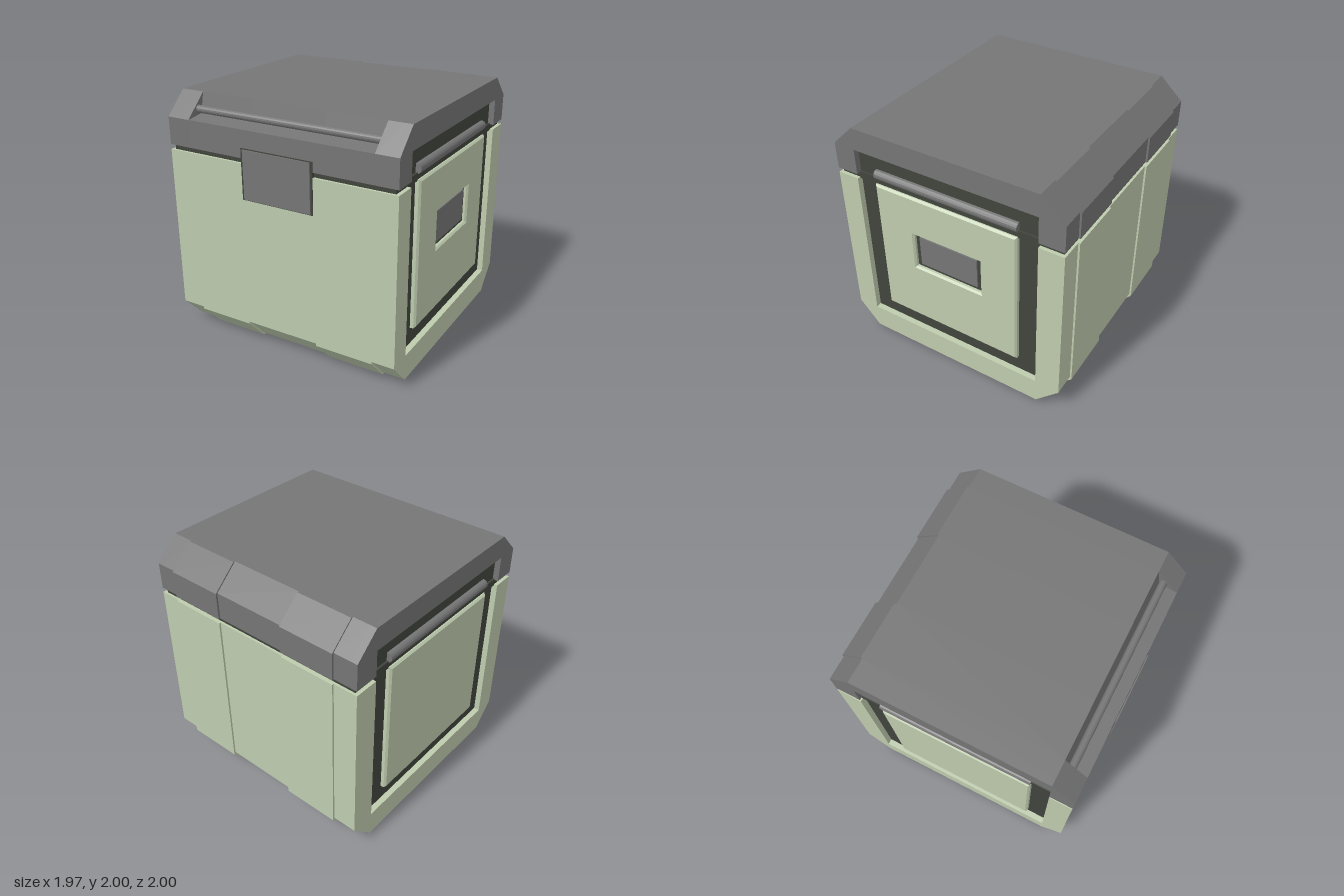
import * as THREE from 'three';

const GREEN = 0xbecbae, GREY = 0x757575, DARK = 0x41453d;
const CORE = 0.93, OUT = 0.985;
const mats = {};
const mat = (c) => (mats[c] ??= new THREE.MeshStandardMaterial({ color: c, flatShading: true }));

function add(parent, name, geo, color) {
  const m = new THREE.Mesh(geo, mat(color));
  m.name = name;
  parent.add(m);
  return m;
}

// Shape from [z, y] points, swept along x from x0 to x1
function toShape(pts, hole) {
  const v = (p) => new THREE.Vector2(-p[0], p[1]);
  const s = new THREE.Shape(pts.map(v));
  if (hole) s.holes.push(new THREE.Path(hole.map(v)));
  return s;
}
function sweep(pts, x0, x1, hole) {
  const g = new THREE.ExtrudeGeometry(toShape(pts, hole), { depth: x1 - x0, bevelEnabled: false });
  return g.rotateY(Math.PI / 2).translate(x0, 0, 0);
}
const rect = (z0, z1, y0, y1) => [[z0, y0], [z1, y0], [z1, y1], [z0, y1]];

function box(x0, x1, y0, y1, z0, z1) {
  return new THREE.BoxGeometry(x1 - x0, y1 - y0, z1 - z0)
    .translate((x0 + x1) / 2, (y0 + y1) / 2, (z0 + z1) / 2);
}

export function createModel() {
  const root = new THREE.Group();
  root.name = 'coolerBox';

  // Body and lid in slices along x; the rib slices stand slightly proud
  const cuts = [-CORE, -0.785, -0.31, 0.32, 0.8, CORE];
  for (let i = 0; i < 5; i++) {
    const rib = i % 2 === 1 ? 1 : 0;
    const b = 0.015 * rib, d = 0.02 * (1 - rib);
    const back = -OUT - b;
    add(root, rib ? 'bodyRib' : 'bodySection', sweep([
      [0.8, d], [OUT, 0.2 + d], [OUT, 1.56], [back, 1.56], [back, 0.2 + d], [-0.79 - b, d],
    ], cuts[i], cuts[i + 1]), GREEN);
    // the middle slices leave a recess for the front rod
    const front = i > 0 && i < 4
      ? [[OUT, 1.82], [0.835, 1.84], [0.8, 2]]
      : [[OUT, 1.82], [0.8, 2]];
    add(root, rib ? 'lidRib' : 'lidSection', sweep([
      [OUT, 1.6], ...front, [-0.79 - b, 2], [back, 1.82], [back, 1.6],
    ], cuts[i], cuts[i + 1]), GREY);
  }

  // Seal in the gap under the lid
  add(root, 'seal', box(-0.955, 0.955, 1.55, 1.61, -0.965, 0.965), DARK);

  // Rod across the front of the lid
  const rod = add(root, 'frontRod', new THREE.CylinderGeometry(0.03, 0.03, 1.585, 16).rotateZ(Math.PI / 2), GREY);
  rod.position.set(0.0075, 1.88, 0.862);

  // Front latch
  add(root, 'latchSurround', box(-0.305, 0.315, 1.275, 1.68, 0.94, 0.988), DARK);
  add(root, 'latchPlate', box(-0.285, 0.297, 1.283, 1.672, 0.95, 0.998), GREY);

  // Both ends: raised rims, sunken dark frame, raised panel and handle rod
  for (const s of [-1, 1]) {
    const side = new THREE.Group();
    side.name = s > 0 ? 'leftEnd' : 'rightEnd';
    root.add(side);
    const span = (a, b) => (s > 0 ? [a, b] : [-b, -a]);

    add(side, 'bodyRim', sweep([
      [0.8, 0.02], [OUT, 0.22], [OUT, 1.56], [0.8, 1.56], [0.8, 0.23],
      [-0.78, 0.23], [-0.78, 1.56], [-OUT, 1.56], [-OUT, 0.22], [-0.79, 0.02],
    ], ...span(CORE, OUT)), GREEN);
    add(side, 'lidRim', sweep([
      [0.8, 1.6], [OUT, 1.6], [OUT, 1.82], [0.8, 2], [-0.79, 2],
      [-OUT, 1.82], [-OUT, 1.6], [-0.78, 1.6], [-0.78, 1.815], [0.8, 1.815],
    ], ...span(CORE, OUT)), GREY);
    add(side, 'darkFrame', sweep(rect(0.8, -0.78, 0.23, 1.815), ...span(0.9, 0.937)), DARK);

    // Panel with a chamfered edge; one end has a window for the small plate
    const bevel = 0.015;
    const hole = s > 0 ? rect(0.31 + bevel, -0.29 - bevel, 0.9 - bevel, 1.21 + bevel) : null;
    const panel = new THREE.ExtrudeGeometry(
      toShape(rect(0.64 - bevel, -0.605 + bevel, 0.37 + bevel, 1.56 - bevel), hole),
      { depth: 0.05, bevelEnabled: true, bevelSize: bevel, bevelThickness: bevel, bevelSegments: 1 });
    panel.rotateY(Math.PI / 2).translate(s > 0 ? 0.915 : -0.965, 0, 0);
    add(side, 'endPanel', panel, GREEN);
    if (s > 0) {
      add(side, 'plateRecess', sweep(rect(0.33, -0.31, 0.88, 1.23), 0.92, 0.945), DARK);
      add(side, 'smallPlate', sweep(rect(0.272, -0.25, 0.93, 1.19), 0.93, 0.957), GREY);
    }

    const handle = add(side, 'handleRod', new THREE.CylinderGeometry(0.04, 0.04, 1.245, 16).rotateX(Math.PI / 2), GREY);
    handle.position.set(s * 0.942, 1.637, 0.0175);
  }
  return root;
}
